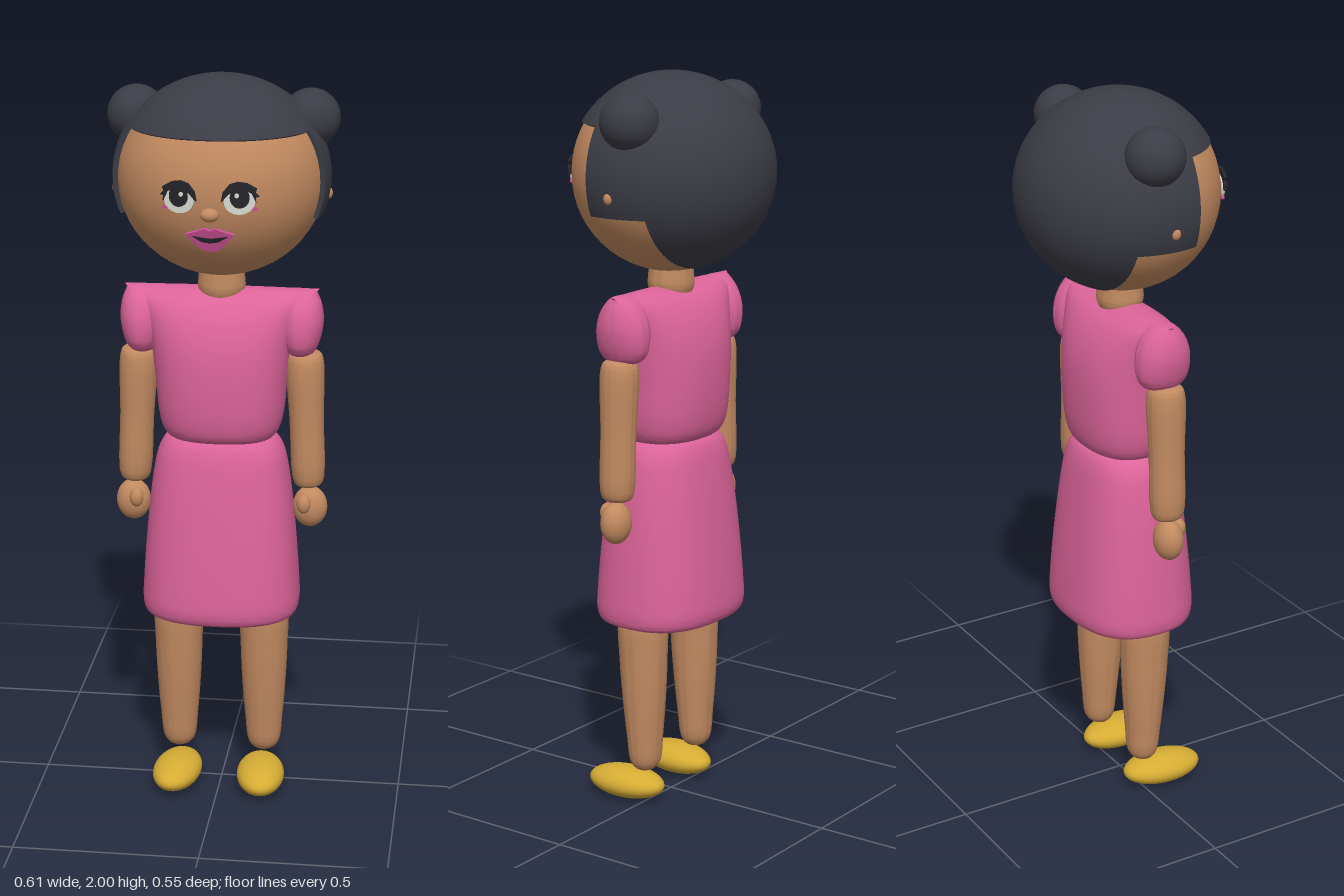
import * as THREE from 'three';
import { toCreasedNormals } from 'three/addons/utils/BufferGeometryUtils.js';

const mat = (name, color, side = THREE.FrontSide) => {
  const m = new THREE.MeshStandardMaterial({ color, side });
  m.name = name;
  return m;
};

export function createModel() {
  const skin = mat('skin', 0xc28a60);
  const hair = mat('hair', 0x3c3c46, THREE.DoubleSide);
  const dress = mat('dress', 0xdc6499, THREE.DoubleSide);
  const gold = mat('shoe gold', 0xd6ac34);
  const black = mat('black', 0x24242a);
  const white = mat('eye white', 0xd9d9d2);
  const lip = mat('lip pink', 0xc94f92);

  const model = new THREE.Group();
  model.name = 'doll';

  function add(name, geometry, material, x = 0, y = 0, z = 0, parent = model) {
    const mesh = new THREE.Mesh(geometry, material);
    mesh.name = name;
    mesh.position.set(x, y, z);
    parent.add(mesh);
    return mesh;
  }

  function ball(name, material, [x, y, z], [rx, ry, rz]) {
    return add(name, new THREE.SphereGeometry(1, 40, 28).scale(rx, ry, rz), material, x, y, z);
  }

  // Surface from a grid of points, point(i, j)
  function grid(rows, cols, point, crease = 0.8) {
    const pos = [], index = [];
    for (let i = 0; i <= rows; i++) for (let j = 0; j <= cols; j++) pos.push(...point(i, j));
    for (let i = 0; i < rows; i++) for (let j = 0; j < cols; j++) {
      const a = i * (cols + 1) + j, b = a + cols + 1;
      index.push(a, a + 1, b, a + 1, b + 1, b);
    }
    const g = new THREE.BufferGeometry();
    g.setAttribute('position', new THREE.Float32BufferAttribute(pos, 3));
    g.setIndex(index);
    return toCreasedNormals(g, crease);
  }

  // Upright body from rounded sections [y, half width, half depth], bottom to top
  function loft(sections, power = 2, crease = 0.8) {
    const curve = new THREE.CatmullRomCurve3(sections.map(([y, w, d]) => new THREE.Vector3(w, y, d)));
    const rows = sections.length * 4, cols = 48;
    const pts = curve.getPoints(rows);
    const round = v => Math.sign(v) * Math.abs(v) ** (2 / power);
    return grid(rows, cols, (i, j) => {
      const a = (j % cols) / cols * Math.PI * 2, p = pts[i];
      return [Math.max(p.x, 0) * round(Math.cos(a)), p.y, -Math.max(p.z, 0) * round(Math.sin(a))];
    }, crease);
  }

  // Head
  const CY = 1.735;
  ball('head', skin, [0, CY, 0], [0.274, 0.262, 0.256]);
  ball('nose', skin, [0, 1.685, 0.253], [0.024, 0.018, 0.02]);
  add('neck', loft([[1.4, 0.05, 0.05], [1.435, 0.063, 0.062], [1.46, 0.062, 0.061], [1.5, 0.058, 0.058]]), skin);

  // Hair shell between two z planes and above a lower edge, with a turned-in rim
  function hairPatch(name, z0, z1, yMin) {
    const RX = 0.287, RY = 0.265, rz = z => (z < 0 ? 0.276 : 0.262);
    const b0 = Math.asin(Math.max(-1, z0 / rz(z0))), b1 = Math.asin(z1 / rz(z1));
    const rows = 26, cols = 66;
    const geo = grid(rows, cols, (i, j) => {
      const u = THREE.MathUtils.clamp((i - 1) / (rows - 2), 0, 1);
      const v = THREE.MathUtils.clamp((j - 1) / (cols - 2), 0, 1);
      const b = b0 + (b1 - b0) * u, s = Math.max(Math.cos(b), 1e-4);
      const a0 = Math.asin(THREE.MathUtils.clamp((yMin - CY) / (RY * s), -1, 1));
      const a = a0 + (Math.PI - 2 * a0) * v;
      const k = i === 0 || j === 0 || i === rows || j === cols ? 0.92 : 1;
      return [RX * s * Math.cos(a) * k, CY + RY * s * Math.sin(a) * k, rz(b) * Math.sin(b) * k];
    });
    add(name, geo, hair);
  }
  hairPatch('hairFringe', 0.065, 0.2254, 1.87);
  hairPatch('hairSides', -0.1, 0.07, 1.64);
  hairPatch('hairBack', -0.276, -0.098, 0);

  // Flat face details, outlined by points
  function plate(name, material, points, z, depth, parent, closed = true) {
    const pts = points.map(p => new THREE.Vector2(...p));
    const shape = new THREE.Shape();
    shape.moveTo(pts[0].x, pts[0].y);
    if (closed) shape.splineThru([...pts.slice(1), pts[0]]);
    else pts.slice(1).forEach(p => shape.lineTo(p.x, p.y));
    const geo = new THREE.ExtrudeGeometry(shape, { depth, bevelEnabled: false, curveSegments: 32 });
    add(name, geo, material, 0, 0, z, parent);
  }
  const oval = (x, y, rx, ry) => Array.from({ length: 16 }, (_, i) => {
    const a = i / 16 * Math.PI * 2;
    return [x + rx * Math.cos(a), y + ry * Math.sin(a)];
  });

  for (const s of [1, -1]) {
    const side = s > 0 ? 'left' : 'right';
    const flip = pts => pts.map(([x, y]) => [x * s, y]);

    // Eye
    const eye = new THREE.Group();
    eye.name = side + 'Eye';
    eye.position.set(s * 0.075, 1.732, 0.25);
    eye.rotation.y = s * 0.25;
    model.add(eye);
    plate('eyeWhite', white, flip(oval(0, -0.008, 0.04, 0.034)), 0, 0.009, eye);
    plate('iris', black, flip(oval(0, 0.002, 0.025, 0.027)), 0.009, 0.004, eye);
    plate('glint', white, flip(oval(-0.008, 0.008, 0.006, 0.006)), 0.013, 0.002, eye);
    plate('lashes', black, flip([[-0.047, -0.008], [-0.042, 0.016], [-0.025, 0.036], [-0.004, 0.042],
      [0.02, 0.038], [0.044, 0.024], [0.04, 0.014], [0.05, 0.004], [0.041, 0.002], [0.042, -0.012],
      [0.03, 0.012], [0.012, 0.022], [-0.012, 0.022], [-0.03, 0.01]]), 0.004, 0.009, eye, false);
    plate('eyeCorner', lip, flip(oval(0.04, -0.03, 0.007, 0.005)), -0.002, 0.008, eye);

    // Bun and ear stud
    ball(side + 'Bun', hair, [s * 0.229, 1.885, -0.036], [0.077, 0.076, 0.078]);
    ball(side + 'EarStud', skin, [s * 0.281, 1.693, -0.005], [0.01, 0.015, 0.013]);

    // Sleeve
    add(side + 'Sleeve', loft([[-0.088, 0, 0], [-0.084, 0.03, 0.045], [-0.06, 0.047, 0.07], [0, 0.06, 0.076],
      [0.05, 0.055, 0.06], [0.085, 0.042, 0.028], [0.092, 0.04, 0]]), dress, s * 0.212, 1.343, 0);

    // Arm, hand and thumb
    const arm = add(side + 'Arm', loft([[-0.19, 0, 0], [-0.188, 0.025, 0.028], [-0.175, 0.04, 0.043], [0, 0.046, 0.048],
      [0.165, 0.05, 0.05], [0.185, 0.042, 0.04], [0.19, 0, 0]]), skin, s * 0.23, 1.075, 0.004);
    arm.rotation.z = s * 0.04;
    ball(side + 'Hand', skin, [s * 0.242, 0.827, 0.004], [0.047, 0.057, 0.039]);
    ball(side + 'Thumb', skin, [s * 0.228, 0.846, 0.044], [0.019, 0.027, 0.02]);

    // Leg and shoe
    const leg = add(side + 'Leg', loft([[0, 0, 0], [0.004, 0.026, 0.024], [0.025, 0.043, 0.04], [0.1, 0.052, 0.049],
      [0.22, 0.061, 0.06], [0.32, 0.065, 0.066], [0.43, 0.066, 0.067], [0.47, 0.05, 0.05]]), skin, s * 0.119, 0.098, 0);
    leg.rotation.x = 0.02;
    const shoe = ball(side + 'Shoe', gold, [s * 0.117, 0.047, 0.066], [0.066, 0.043, 0.115]);
    shoe.rotation.y = s * 0.08;
  }

  // Mouth
  const mouth = new THREE.Group();
  mouth.name = 'mouth';
  mouth.position.set(0, 1.622, 0.234);
  mouth.rotation.x = 0.28;
  model.add(mouth);
  plate('lips', lip, [[-0.062, 0.014], [-0.035, 0.022], [-0.014, 0.03], [0, 0.024], [0.014, 0.03], [0.035, 0.022],
    [0.062, 0.014], [0.042, -0.012], [0.02, -0.032], [0, -0.037], [-0.02, -0.032], [-0.042, -0.012]], 0, 0.009, mouth, false);
  plate('mouthLine', black, [[-0.046, 0.01], [-0.02, 0.006], [0, 0.003], [0.02, 0.006], [0.046, 0.01],
    [0.022, -0.006], [0, -0.01], [-0.022, -0.006]], 0.009, 0.002, mouth, false);

  // Bodice, narrowing to a straight shoulder ridge
  add('bodice', loft([[1.02, 0, 0], [1.022, 0.13, 0.095], [1.04, 0.152, 0.117], [1.08, 0.166, 0.13], [1.2, 0.178, 0.136],
    [1.29, 0.19, 0.128], [1.36, 0.21, 0.105], [1.405, 0.236, 0.073], [1.428, 0.255, 0.035], [1.436, 0.26, 0]], 2.4), dress);

  // Skirt
  add('skirt', loft([[0.515, 0, 0], [0.517, 0.18, 0.14], [0.527, 0.207, 0.163], [0.55, 0.214, 0.172], [0.62, 0.212, 0.17],
    [0.8, 0.198, 0.152], [0.93, 0.182, 0.134], [0.99, 0.168, 0.122], [1.02, 0.148, 0.108], [1.032, 0.12, 0.085],
    [1.033, 0, 0]], 2.5), dress);

  return model;
}
